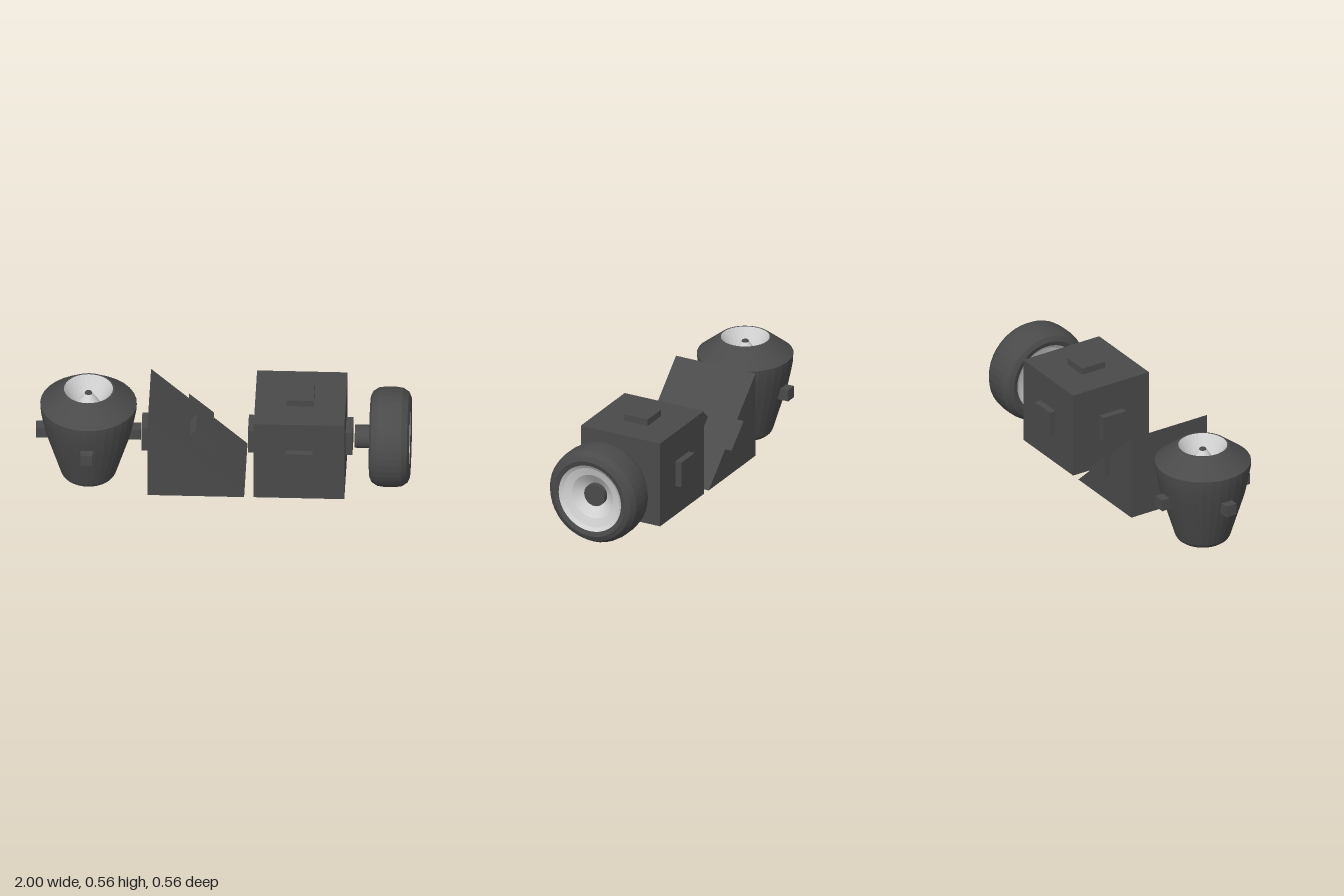
import * as THREE from 'three';
import { toCreasedNormals } from 'three/addons/utils/BufferGeometryUtils.js';

const dark = new THREE.MeshStandardMaterial({ color: 0x4a4a4a });
dark.name = 'darkGrey';
const light = new THREE.MeshStandardMaterial({ color: 0xd2d2d2 });
light.name = 'lightGrey';

const MID = 0.283;   // height of the common axis
const HALF = 0.242;  // half size of the block bodies
const NUB = 0.145;   // connector width

function add(parent, name, geometry, material, x = 0, y = 0, z = 0) {
  const mesh = new THREE.Mesh(geometry, material);
  mesh.name = name;
  mesh.position.set(x, y, z);
  parent.add(mesh);
  return mesh;
}

function box(parent, name, w, h, d, x, y, z) {
  return add(parent, name, new THREE.BoxGeometry(w, h, d), dark, x, y, z);
}

// Turned part from [radius, height] pairs, listed bottom to top on the outside
function lathe(parent, name, points, material, segments = 32, crease = 0.15) {
  const profile = points.map(([r, y]) => new THREE.Vector2(r, y));
  const geometry = toCreasedNormals(new THREE.LatheGeometry(profile, segments), crease);
  return add(parent, name, geometry, material);
}

// Triangular prism centred on z = 0
function prism(parent, name, corners, depth, z = 0) {
  const shape = new THREE.Shape(corners.map(([x, y]) => new THREE.Vector2(x, y)));
  const geometry = new THREE.ExtrudeGeometry(shape, { depth, bevelEnabled: false });
  geometry.translate(0, 0, -depth / 2);
  return add(parent, name, geometry, dark, 0, 0, z);
}

function makeThruster() {
  const g = new THREE.Group();
  g.name = 'thruster';
  g.position.x = -0.72;
  lathe(g, 'thrusterShell', [
    [0.125, 0], [0.138, 0.01], [0.148, 0.025], [0.228, 0.285], [0.248, 0.38],
    [0.256, 0.425], [0.258, 0.465], [0.14, 0.557], [0.131, 0.557],
  ], dark);
  // Intake bowl with a central cone
  lathe(g, 'intakeBowl', [[0.131, 0.557], [0.072, 0.45], [0.02, 0.53]], light);
  lathe(g, 'intakeTip', [[0.021, 0.528], [0.017, 0.537], [0, 0.537]], dark, 16);
  // Exhaust bowl underneath
  lathe(g, 'exhaustBowl', [[0, 0.12], [0.095, 0.11], [0.125, 0]], light);
  lathe(g, 'exhaustCone', [[0, 0.03], [0.02, 0.03], [0.038, 0.12]], dark, 16);
  // Four side connectors
  for (const s of [-1, 1]) {
    box(g, 'thrusterSideConnector', 0.08, 0.065, 0.065, s * 0.24, MID, 0);
    box(g, 'thrusterFaceConnector', 0.065, 0.065, 0.08, 0, MID, s * 0.24);
  }
  return g;
}

function makeWedge() {
  const g = new THREE.Group();
  g.name = 'wedge';
  prism(g, 'wedgeBody', [[-0.395, 0.04], [0.12, 0.04], [-0.395, 0.52]], HALF * 2);
  box(g, 'wedgeSideConnector', 0.04, NUB, NUB, -0.415, MID, 0);
  box(g, 'wedgeBottomConnector', NUB, 0.04, NUB, -0.122, 0.02, 0);
  for (const s of [-1, 1]) {
    prism(g, 'wedgeFaceConnector', [[-0.193, 0.21], [-0.06, 0.21], [-0.193, 0.332]], 0.04, s * 0.262);
  }
  // Connector standing on the slope
  const slope = box(g, 'wedgeSlopeConnector', 0.153, 0.06, NUB, -0.107, 0.279, 0);
  slope.rotation.z = -Math.atan2(0.48, 0.515);
  return g;
}

function makeCube() {
  const g = new THREE.Group();
  g.name = 'cube';
  g.position.set(0.413, MID, 0);
  box(g, 'cubeBody', HALF * 2, HALF * 2, HALF * 2, 0, 0, 0);
  for (const s of [-1, 1]) {
    const d = s * 0.259;
    box(g, 'cubeSideConnector', 0.04, NUB, NUB, d, 0, 0);
    box(g, 'cubeVerticalConnector', NUB, 0.04, NUB, 0, d, 0);
    box(g, 'cubeFaceConnector', NUB, NUB, 0.04, 0, 0, d);
  }
  return g;
}

function makeWheel() {
  const g = new THREE.Group();
  g.name = 'wheel';
  g.position.set(0.892, MID, 0);
  g.rotation.z = -Math.PI / 2;
  // Tyre cross-section, mirrored about the middle
  const half = [[0.268, 0.03], [0.263, 0.065], [0.243, 0.096], [0.216, 0.108], [0.19, 0.1]];
  const mirrored = half.map(([r, y]) => [r, -y]).reverse();
  lathe(g, 'tyre', [...mirrored, ...half], dark, 40);
  // Dished rim on both sides
  const dish = [[0.19, 0.1], [0.17, 0.085], [0.125, 0.07], [0.06, 0.02]];
  lathe(g, 'outerRim', dish, light, 40);
  lathe(g, 'innerRim', dish.map(([r, y]) => [r, -y]).reverse(), light, 40);
  // Axle running from the inner end to the outer hub
  add(g, 'axle', new THREE.CylinderGeometry(0.0625, 0.0625, 0.239, 32), dark, 0, -0.0695, 0);
  return g;
}

export function createModel() {
  const model = new THREE.Group();
  model.name = 'buildingBlocks';
  model.add(makeThruster(), makeWedge(), makeCube(), makeWheel());
  return model;
}
